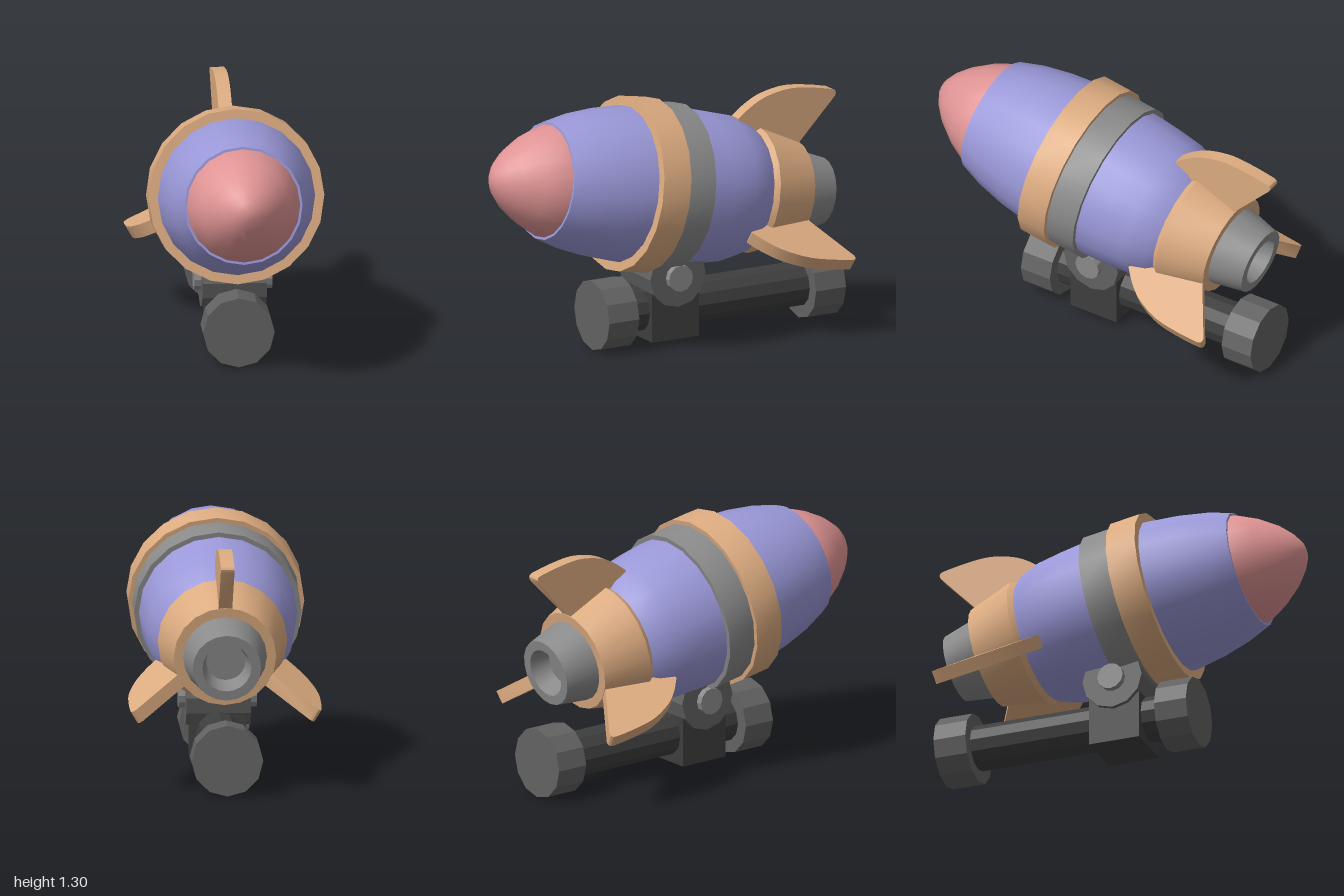
import * as THREE from 'three';
import { toCreasedNormals } from 'three/addons/utils/BufferGeometryUtils.js';

const mat = (name, color, flat = false) => {
  const m = new THREE.MeshStandardMaterial({ color, flatShading: flat });
  m.name = name;
  return m;
};

export function createModel() {
  const root = new THREE.Group();
  root.name = 'rocketOnStand';
  const blue = mat('bodyBlue', 0x9a98d8);
  const pink = mat('nosePink', 0xe09494);
  const tan = mat('trimTan', 0xdcab80);
  const grey = mat('metalGrey', 0x8a8a8a);
  const mid = mat('standGrey', 0x626262);
  const dark = mat('standDark', 0x3e3e3e);

  const add = (parent, name, geo, material) => {
    const mesh = new THREE.Mesh(geo, material);
    mesh.name = name;
    parent.add(mesh);
    return mesh;
  };

  // Turned part along z; profile is [radius, position] from tail to nose
  const turned = (profile, crease = 0.6) => {
    const pts = profile.map(([r, s]) => new THREE.Vector2(r, s));
    const geo = new THREE.LatheGeometry(pts, 20).rotateX(Math.PI / 2);
    return toCreasedNormals(geo, crease);
  };
  const band = (r, s0, s1) => turned([[0.36, s0], [r, s0], [r, s1], [0.36, s1]]);

  // Rocket, nose tilted up ten degrees
  const rocket = new THREE.Group();
  rocket.name = 'rocket';
  rocket.position.y = 0.818;
  rocket.rotation.x = -THREE.MathUtils.degToRad(10);
  root.add(rocket);

  add(rocket, 'body', turned([
    [0, -0.52], [0.285, -0.52], [0.34, -0.448], [0.378, -0.34], [0.394, -0.2], [0.405, -0.05],
    [0.41, 0.1], [0.402, 0.26], [0.381, 0.42], [0.348, 0.57], [0.303, 0.7], [0, 0.7],
  ]), blue);
  add(rocket, 'noseCone', turned([
    [0.29, 0.695], [0.29, 0.702], [0.234, 0.814], [0.163, 0.912], [0.105, 0.967], [0.05, 1.002], [0, 1.014],
  ]), pink);
  add(rocket, 'frontBand', band(0.45, 0.093, 0.254), tan);
  add(rocket, 'rearBand', band(0.428, -0.068, 0.092), grey);
  add(rocket, 'tailCone', turned([
    [0, -0.756], [0.262, -0.756], [0.331, -0.51], [0.31, -0.478], [0.25, -0.478],
  ], 0.5), tan);

  // Hollow exhaust
  add(rocket, 'nozzle', turned([
    [0, -0.83], [0.1, -0.83], [0.125, -0.934], [0.175, -0.934], [0.215, -0.75], [0, -0.75],
  ]), grey);

  // Three swept fins
  const fin = new THREE.Shape();
  fin.moveTo(-0.4, 0.28);
  fin.lineTo(-0.37, 0.37);
  fin.splineThru([[-0.44, 0.44], [-0.522, 0.495], [-0.646, 0.538], [-0.78, 0.547], [-0.9, 0.543]]
    .map(([s, r]) => new THREE.Vector2(s, r)));
  fin.quadraticCurveTo(-0.93, 0.54, -0.92, 0.51);
  fin.lineTo(-0.755, 0.265);
  fin.lineTo(-0.74, 0.2);
  fin.closePath();
  const finGeo = toCreasedNormals(
    new THREE.ExtrudeGeometry(fin, { depth: 0.07, bevelEnabled: false, curveSegments: 3 })
      .translate(0, 0, -0.035).rotateY(-Math.PI / 2), 0.6);
  ['topFin', 'leftFin', 'rightFin'].forEach((name, i) => {
    add(rocket, name, finGeo, tan).rotation.z = -i * Math.PI * 2 / 3;
  });

  // Stand: rod with heavy end caps
  const stand = new THREE.Group();
  stand.name = 'stand';
  root.add(stand);
  const drum = (r, length, sides) =>
    toCreasedNormals(new THREE.CylinderGeometry(r, r, length, sides).rotateX(Math.PI / 2), 0.45);
  add(stand, 'rod', drum(0.117, 1.3, 12), dark).position.set(0, 0.185, -0.28);
  add(stand, 'frontCap', drum(0.183, 0.175, 12), mid).position.set(0, 0.185, 0.322);
  add(stand, 'rearCap', drum(0.183, 0.175, 12), mid).position.set(0, 0.185, -0.888);

  // Clamp block, pivot drum and bolt
  add(stand, 'clampBlock', new THREE.BoxGeometry(0.28, 0.345, 0.275), dark).position.set(0, 0.2075, -0.002);
  add(stand, 'pivotDrum', drum(0.162, 0.33, 12).rotateY(Math.PI / 2), mid).position.set(0, 0.375, -0.002);
  add(stand, 'pivotBolt', drum(0.07, 0.4, 12).rotateY(Math.PI / 2), grey).position.set(0, 0.372, 0);

  return root;
}
